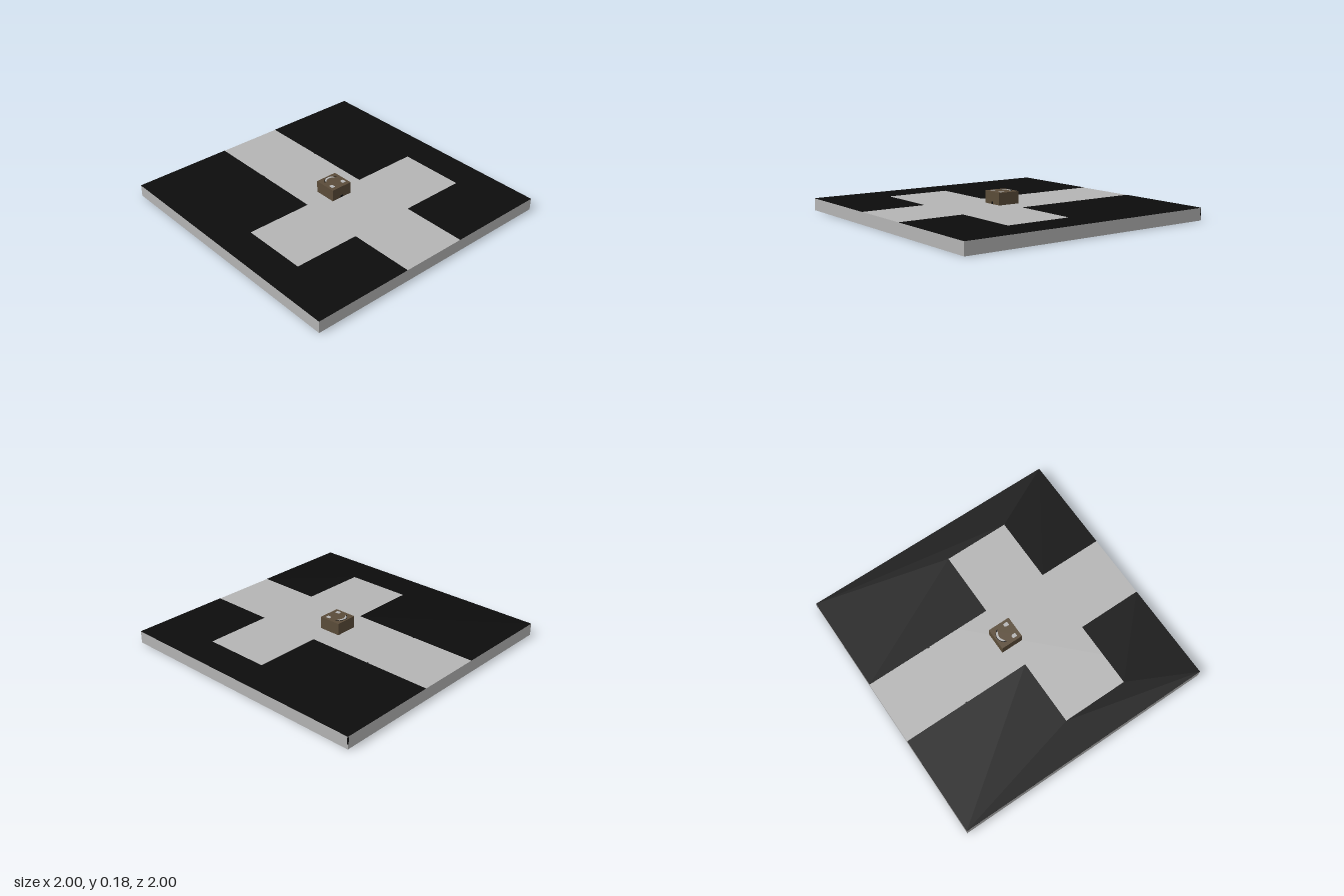
import * as THREE from 'three';

const TOP = 0.09;       // slab height
const BOX_TOP = 0.18;   // top of the small box
const HALF = 0.085;     // half width of the small box

const mat = (name, color) => Object.assign(new THREE.MeshStandardMaterial({ color }), { name });

export function createModel() {
  const group = new THREE.Group();
  const grey = mat('pale grey', 0xb4b4b4);
  const black = mat('black', 0x0c0c0c);
  const brown = mat('brown', 0x5b4c39);

  const add = (name, geometry, material) => {
    const mesh = new THREE.Mesh(geometry, material);
    mesh.name = name;
    group.add(mesh);
  };
  const box = (name, material, [w, h, d], [x, y, z]) =>
    add(name, new THREE.BoxGeometry(w, h, d).translate(x, y, z), material);
  // Thin plate lying flat, drawn as [x, z] points
  const plate = (name, material, points, y) => {
    const shape = new THREE.Shape(points.map(([x, z]) => new THREE.Vector2(x, z)));
    const geometry = new THREE.ExtrudeGeometry(shape, { depth: 0.0015, bevelEnabled: false });
    add(name, geometry.rotateX(Math.PI / 2).translate(0, y + 0.0015, 0), material);
  };
  // Curved band bulging towards the back
  const arch = (x0, x1, zPeak, thickness) => {
    const outer = [], inner = [];
    for (let i = 0; i <= 10; i++) {
      const x = x0 + (x1 - x0) * i / 10;
      const z = zPeak + 11 * x * x;
      outer.push([x, z]);
      inner.unshift([x, z + thickness]);
    }
    return [...outer, ...inner];
  };

  // Floor slab
  box('floorSlab', grey, [2, TOP, 2], [0, TOP / 2, 0]);

  // Black ground on both sides, leaving a cross-shaped path
  for (const s of [-1, 1]) {
    const outline = [[0.25, -1], [1, -1], [1, 1], [0.25, 1], [0.25, 0.505], [0.755, 0.505], [0.755, 0], [0.25, 0]];
    plate('darkGround', black, outline.map(([x, z]) => [s * x, z]), TOP);
    box('pathNotch', black, [0.012, 0.002, 0.014], [s * 0.25, TOP + 0.0005, -0.503]);
  }
  // Small dark mark on one back corner
  box('cornerMark', black, [0.008, 0.05, 0.008], [0.9965, 0.06, -0.9965]);

  // Box with a face painted on its lid
  box('box', brown, [HALF * 2, BOX_TOP - TOP, HALF * 2], [0, (BOX_TOP + TOP) / 2, 0]);
  plate('mouthShadow', black, arch(-0.055, 0.055, -0.074, 0.01), BOX_TOP);
  plate('mouth', grey, arch(-0.045, 0.04, -0.07, 0.016), BOX_TOP + 0.001);
  for (const s of [-1, 1]) {
    const eye = [[0.037, 0.03], [0.046, 0.022], [0.062, 0.022], [0.066, 0.036], [0.064, 0.057], [0.037, 0.057]];
    plate('eye', grey, eye.map(([x, z]) => [s * x, z]), BOX_TOP);
  }
  box('frontDot', black, [0.022, 0.016, 0.002], [0, 0.1, HALF]);

  return group;
}
